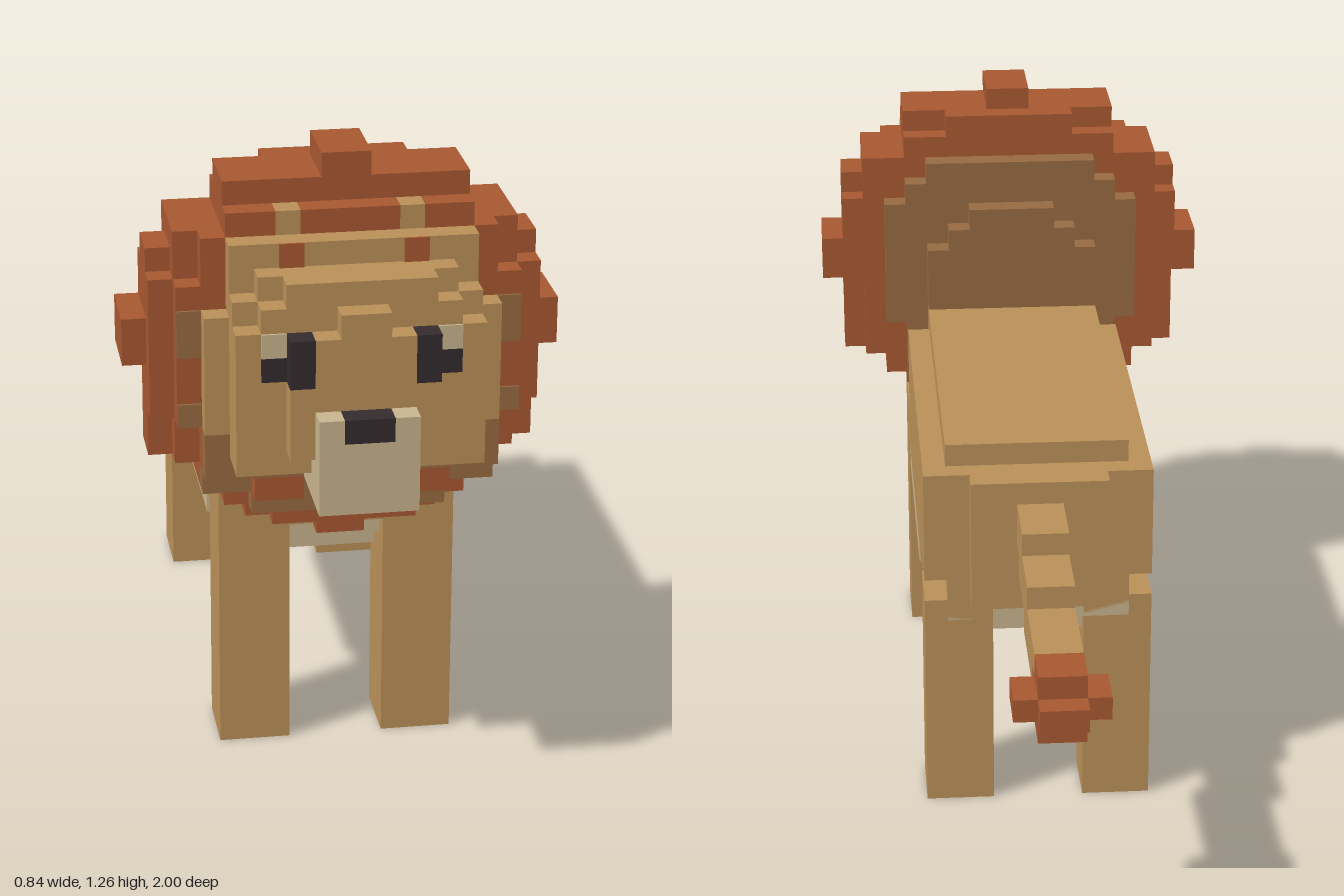
import * as THREE from 'three';

const V = 2 / 43; // edge length of one block

function flat(name, color) {
  const m = new THREE.MeshStandardMaterial({ color });
  m.name = name;
  return m;
}

export function createModel() {
  const tan = flat('tan fur', 0xba9058);
  const rust = flat('rust mane', 0xa85832);
  const brown = flat('brown undermane', 0x976a42);
  const cream = flat('cream fur', 0xc8b48e);
  const dark = flat('dark', 0x342b2e);

  const model = new THREE.Group();
  model.name = 'blockLion';

  function group(name) {
    const g = new THREE.Group();
    g.name = name;
    model.add(g);
    return g;
  }

  function add(parent, name, geometry, material) {
    const mesh = new THREE.Mesh(geometry, material);
    mesh.name = name;
    parent.add(mesh);
    return mesh;
  }

  // Box given by its limits in blocks
  function box(parent, name, mat, x0, x1, y0, y1, z0, z1) {
    const g = new THREE.BoxGeometry((x1 - x0) * V, (y1 - y0) * V, (z1 - z0) * V);
    g.translate((x0 + x1) / 2 * V, (y0 + y1) / 2 * V, (z0 + z1) / 2 * V);
    return add(parent, name, g, mat);
  }

  // The same box on the left and on the right
  function pair(parent, name, mat, x0, x1, ...yz) {
    box(parent, name + 'Left', mat, x0, x1, ...yz);
    box(parent, name + 'Right', mat, -x1, -x0, ...yz);
  }

  // Symmetric stepped slab; rows are [bottom, top, half width] from low to high
  function slab(parent, name, mat, z0, z1, rows) {
    const right = rows.flatMap(([y0, y1, w]) => [[w, y0], [w, y1]]);
    const left = right.map(([x, y]) => [-x, y]).reverse();
    const shape = new THREE.Shape([...right, ...left].map(([x, y]) => new THREE.Vector2(x * V, y * V)));
    const g = new THREE.ExtrudeGeometry(shape, { depth: (z1 - z0) * V, bevelEnabled: false });
    g.translate(0, 0, z0 * V);
    return add(parent, name, g, mat);
  }

  // Legs
  const legs = group('legs');
  pair(legs, 'frontLeg', tan, 2, 5, 0, 10, 10.5, 13.5);
  pair(legs, 'hindLeg', tan, 2, 5, 0, 10, -7.5, -4.5);

  // Body with stepped back, rump and shoulders
  const body = group('body');
  box(body, 'trunk', tan, -5, 5, 10, 16, -4.5, 9.5);
  box(body, 'back', tan, -4, 4, 16, 17, -6.5, 9.5);
  box(body, 'haunches', tan, -5, 5, 11, 16, -7.5, -4.5);
  box(body, 'haunchBase', tan, -4, 4, 10, 11, -7.5, -4.5);
  box(body, 'rump', tan, -3, 3, 10, 16, -8.5, -7.5);
  box(body, 'shoulders', tan, -4, 4, 10, 17, 9.5, 11.5);
  box(body, 'chest', tan, -5, 5, 10, 12, 9.5, 13.5);

  // Belly
  const belly = group('belly');
  box(belly, 'bellyUpper', cream, -4, 4, 9, 10, -7.5, 12.5);
  box(belly, 'bellySides', cream, -5, 5, 9, 10, -1.5, 9.5);
  box(belly, 'bellyLower', cream, -3, 3, 8, 9, -6.5, 11.5);
  box(belly, 'bellyMiddle', cream, -4, 4, 8, 9, -4.5, 10.5);

  // Tail, stepping down toward the tuft: [back, front, bottom, top]
  const tail = group('tail');
  [[-9.5, -8.5, 13, 15], [-11.5, -9.5, 12, 15], [-12.5, -11.5, 12, 14],
    [-14.5, -12.5, 11, 14], [-17.5, -14.5, 11, 13], [-18.5, -17.5, 12, 13]]
    .forEach(([z0, z1, y0, y1], i) => box(tail, `tailStep${i + 1}`, tan, -1, 1, y0, y1, z0, z1));
  box(tail, 'tuftCore', rust, -1, 1, 11, 12, -21.5, -17.5);
  box(tail, 'tuftHeight', rust, -1, 1, 10, 13, -20.5, -18.5);
  box(tail, 'tuftWidth', rust, -2, 2, 11, 12, -20.5, -18.5);

  // Mane, built as layers from the neck to the face
  const mane = group('mane');
  slab(mane, 'neckDisc', brown, 9.5, 10.5, [[12, 20, 4], [20, 21, 3], [21, 22, 2]]);
  slab(mane, 'rearDisc', brown, 10.5, 11.5,
    [[12, 13, 4], [13, 16, 5], [16, 22, 6], [22, 23, 5], [23, 24, 4]]);
  slab(mane, 'maneRear', rust, 11.5, 12.5,
    [[12, 13, 4], [13, 14, 6], [14, 18, 7], [18, 20, 9], [20, 22, 8], [22, 24, 7], [24, 25, 5], [25, 26, 3]]);
  slab(mane, 'maneMiddle', rust, 12.5, 14.5,
    [[10, 11, 1], [11, 12, 4], [12, 13, 5], [13, 14, 6], [14, 18, 8], [18, 20, 9],
      [20, 23, 8], [23, 24, 7], [24, 26, 5], [26, 27, 1]]);
  slab(mane, 'maneFront', rust, 14.5, 15.5,
    [[11, 12, 3], [12, 13, 5], [13, 14, 6], [14, 16, 7], [16, 22, 8], [22, 24, 7], [24, 26, 5], [26, 27, 1]]);
  slab(mane, 'maneFace', rust, 15.5, 16.5, [[14, 16, 6], [16, 22, 7], [22, 24, 6], [24, 25, 2]]);
  pair(mane, 'maneCrown', rust, 3, 5, 24, 25, 15.5, 16.5);
  slab(mane, 'beardRear', brown, 15.5, 16.5, [[12, 13, 4], [13, 14, 6]]);
  slab(mane, 'beard', brown, 16.5, 17.5, [[13, 14, 2], [14, 16, 6]]);
  pair(mane, 'beardTuft', rust, 2, 4, 13, 14, 16.5, 17.5);
  box(mane, 'beardCentre', rust, -1, 1, 12, 13, 16.5, 16.6);
  pair(mane, 'cheekTuftUpper', brown, 6, 7, 19, 21, 16.5, 16.6);
  pair(mane, 'cheekTuftLower', brown, 6, 7, 16, 17, 16.5, 16.6);

  // Head, narrowing toward the face
  const head = group('head');
  slab(head, 'headRear', tan, 16.5, 17.5, [[16, 21, 6], [21, 24, 5]]);
  slab(head, 'headMiddle', tan, 17.5, 18.5, [[15, 22, 5], [22, 23, 4]]);
  slab(head, 'headFront', tan, 18.5, 19.5, [[15, 21, 5], [21, 22, 4], [22, 23, 3]]);
  slab(head, 'face', tan, 19.5, 20.5, [[16, 19, 3], [19, 21, 2], [21, 22, 1]]);

  // Ears
  pair(head, 'earTip', tan, 2, 3, 24, 25, 15.5, 16.5);
  pair(head, 'innerEar', rust, 2, 3, 23, 24, 17.5, 17.6);

  // Eyes
  pair(head, 'eye', dark, 2, 3, 19, 21, 19.5, 20.5);
  pair(head, 'eyeCorner', dark, 3, 4, 19, 20, 19.5, 19.6);
  pair(head, 'eyeWhite', cream, 3, 4, 20, 21, 19.5, 19.6);

  // Muzzle and nose
  box(head, 'muzzle', cream, -2, 2, 14, 17, 17.5, 21.5);
  pair(head, 'muzzleSide', cream, 1, 2, 17, 18, 20.5, 21.5);
  box(head, 'nose', dark, -1, 1, 17, 18, 20.5, 21.5);

  return model;
}
